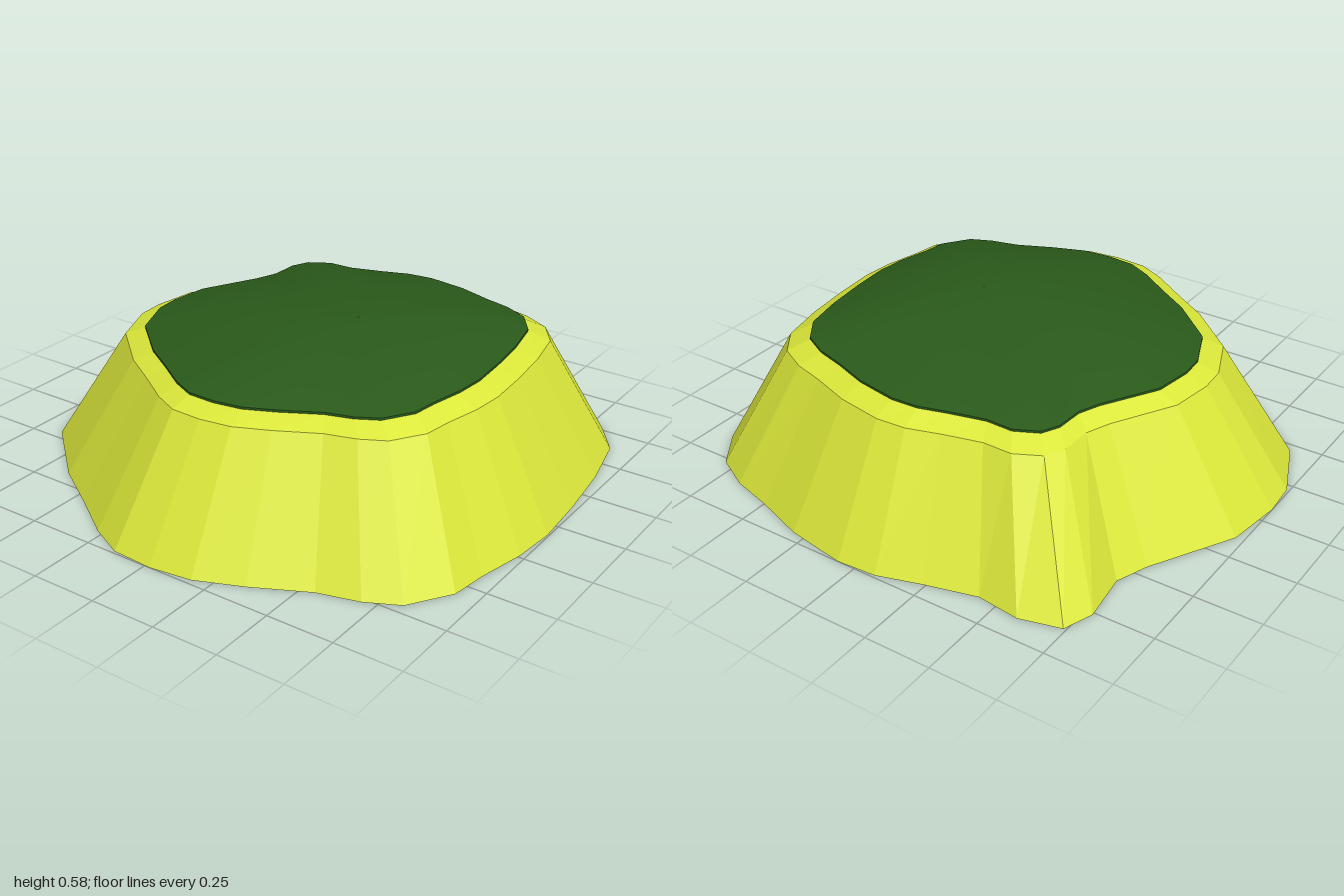
import * as THREE from 'three';

// Ground outline as [x, z, pull], counterclockwise from above.
// pull draws the upper rings inward at the back spur.
const outline = [
  [0.07, -1], [-0.08, -0.99], [-0.24, -0.94], [-0.43, -0.89], [-0.59, -0.91, 0.98],
  [-0.74, -0.87, 0.95], [-0.78, -0.76, 0.96], [-0.755, -0.57], [-0.8, -0.45],
  [-0.97, -0.14], [-1, 0.08], [-0.99, 0.22], [-0.89, 0.46], [-0.64, 0.685],
  [-0.46, 0.8], [-0.275, 0.925], [-0.14, 0.99], [0.02, 1], [0.18, 0.98],
  [0.35, 0.91], [0.55, 0.81], [0.7, 0.77], [0.82, 0.71], [0.92, 0.56],
  [0.94, 0.42], [0.98, 0.24], [0.995, 0.07], [0.98, -0.15], [0.95, -0.4],
  [0.9, -0.63], [0.8, -0.77], [0.66, -0.845], [0.5, -0.89], [0.3, -0.96],
];

// Scaled and slightly shifted copy of the outline; height may vary with x and z
function ring(scale, heightAt, dx = 0.018, dz = -0.014) {
  return outline.map(([px, pz, pull = 1]) => {
    const s = scale < 1 ? scale * pull : 1;
    const x = px * s + dx, z = pz * s + dz;
    return new THREE.Vector3(x, heightAt(x, z), z);
  });
}

// Surface through successive closed rings
function loft(rings) {
  const n = rings[0].length, index = [];
  for (let r = 0; r < rings.length - 1; r++) {
    for (let i = 0; i < n; i++) {
      const j = (i + 1) % n;
      const a = r * n + i, b = r * n + j, c = a + n, d = b + n;
      index.push(a, b, d, a, d, c);
    }
  }
  const geo = new THREE.BufferGeometry().setFromPoints(rings.flat());
  geo.setIndex(index);
  geo.computeVertexNormals();
  return geo;
}

export function createModel() {
  const group = new THREE.Group();
  const lime = new THREE.MeshStandardMaterial({ color: 0xdbe83a, flatShading: true, side: THREE.DoubleSide });
  const green = new THREE.MeshStandardMaterial({ color: 0x2a5a1a, side: THREE.DoubleSide });
  const add = (name, geo, mat) => {
    const mesh = new THREE.Mesh(geo, mat);
    mesh.name = name;
    group.add(mesh);
  };

  const ground = ring(1, () => 0, 0, 0);
  const shoulder = ring(0.747, (x) => 0.437 + 0.01 * x);
  const edgeHeight = (x, z) => 0.469 + 0.017 * x - 0.006 * z;
  const edge = ring(0.671, edgeHeight);

  // Sloping sides, open underneath, and the bevel around the top
  add('slope', loft([ground, shoulder]), lime);
  add('rim', loft([shoulder, edge]), lime);

  // Thin lip where the top cover meets the rim
  const lipTop = edge.map((p) => p.clone().setY(p.y + 0.008));
  add('coverLip', loft([edge, lipTop]), green);

  // Domed cover: the lip ring shrinks toward an off-centre peak
  const peak = new THREE.Vector3(0.17, 0.58, 0);
  const domeRings = [];
  for (let k = 0; k <= 8; k++) {
    const t = k / 8, rise = 1 - (1 - t) ** 2;
    domeRings.push(lipTop.map((p) => {
      const q = p.clone().lerp(peak, Math.min(t, 0.995));
      return q.setY(p.y + (peak.y - p.y) * rise);
    }));
  }
  add('cover', loft(domeRings), green);

  return group;
}
